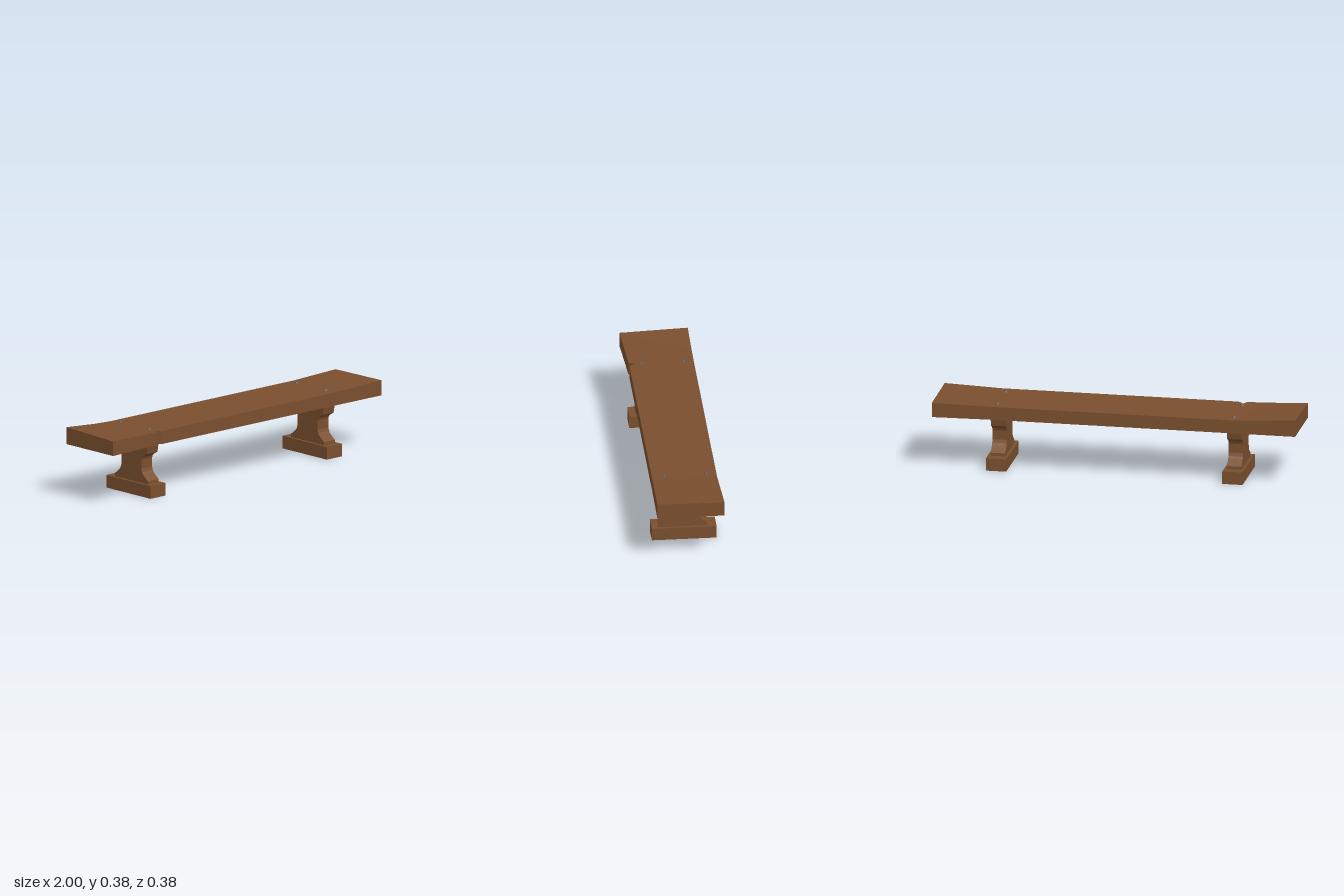
import * as THREE from 'three';

const wood = new THREE.MeshStandardMaterial({ color: 0x7a4f2e, flatShading: true });
wood.name = 'brown wood';
const iron = new THREE.MeshStandardMaterial({ color: 0x5c5f66, flatShading: true });
iron.name = 'grey iron';

function add(parent, name, geometry, material, x, y, z) {
  const mesh = new THREE.Mesh(geometry, material);
  mesh.name = name;
  mesh.position.set(x, y, z);
  parent.add(mesh);
  return mesh;
}

// Warped plank: a four-cornered cross-section at each station along x
function plankGeometry() {
  // x, front z, back z, front top y, back top y
  const stations = [
    [-1, 0.19, -0.181, 0.371, 0.384],
    [-0.78, 0.178, -0.181, 0.364, 0.367],
    [-0.668, 0.173, -0.181, 0.363, 0.363],
    [-0.652, 0.14, -0.181, 0.363, 0.363], // chipped notch
    [-0.622, 0.171, -0.181, 0.363, 0.363],
    [0.68, 0.171, -0.181, 0.363, 0.363],
    [1, 0.173, -0.192, 0.374, 0.37],
  ];
  const bottom = 0.29;
  const rings = stations.map(([x, zf, zb, yf, yb]) => [
    [x, bottom, zf], [x, yf, zf], [x, yb, zb], [x, bottom, zb],
  ]);
  const points = [];
  const tri = (a, b, c) => points.push(...a, ...b, ...c);
  for (let i = 0; i < rings.length - 1; i++) {
    const p = rings[i], q = rings[i + 1];
    for (let k = 0; k < 4; k++) {
      const n = (k + 1) % 4;
      tri(p[k], q[k], q[n]);
      tri(p[k], q[n], p[n]);
    }
  }
  // end grain
  const s = rings[0], e = rings[rings.length - 1];
  tri(s[0], s[1], s[2]);
  tri(s[0], s[2], s[3]);
  tri(e[0], e[3], e[2]);
  tri(e[0], e[2], e[1]);
  const g = new THREE.BufferGeometry();
  g.setAttribute('position', new THREE.Float32BufferAttribute(points, 3));
  g.computeVertexNormals();
  return g;
}

// Waisted leg: mirrored half profile extruded across the leg's thickness
function legGeometry(thickness) {
  const half = [
    [0.131, 0.07], [0.131, 0.087], [0.093, 0.117], [0.085, 0.13], [0.079, 0.148],
    [0.079, 0.198], [0.084, 0.212], [0.094, 0.223], [0.121, 0.237], [0.131, 0.29],
  ];
  const mirrored = half.map(([w, y]) => [-w, y]).reverse();
  const shape = new THREE.Shape([...half, ...mirrored].map(([w, y]) => new THREE.Vector2(w, y)));
  const g = new THREE.ExtrudeGeometry(shape, { depth: thickness, bevelEnabled: false });
  g.translate(0, 0, -thickness / 2);
  g.rotateY(Math.PI / 2);
  return g;
}

export function createModel() {
  const bench = new THREE.Group();
  bench.name = 'bench';

  add(bench, 'seatPlank', plankGeometry(), wood, 0, 0, 0);

  const leg = legGeometry(0.08);
  const foot = new THREE.BoxGeometry(0.112, 0.07, 0.352);
  const bolt = new THREE.CylinderGeometry(0.007, 0.012, 0.012, 8);

  for (const [side, x] of [['right', -0.653], ['left', 0.649]]) {
    const support = new THREE.Group();
    support.name = side + 'Support';
    support.position.x = x;
    bench.add(support);
    add(support, 'leg', leg, wood, 0, 0, 0.005);
    add(support, 'foot', foot, wood, 0, 0.035, -0.001);
    // bolts through the plank
    add(support, 'frontBolt', bolt, iron, 0, 0.365, 0.105);
    add(support, 'backBolt', bolt, iron, 0, 0.365, -0.125);
  }
  return bench;
}
